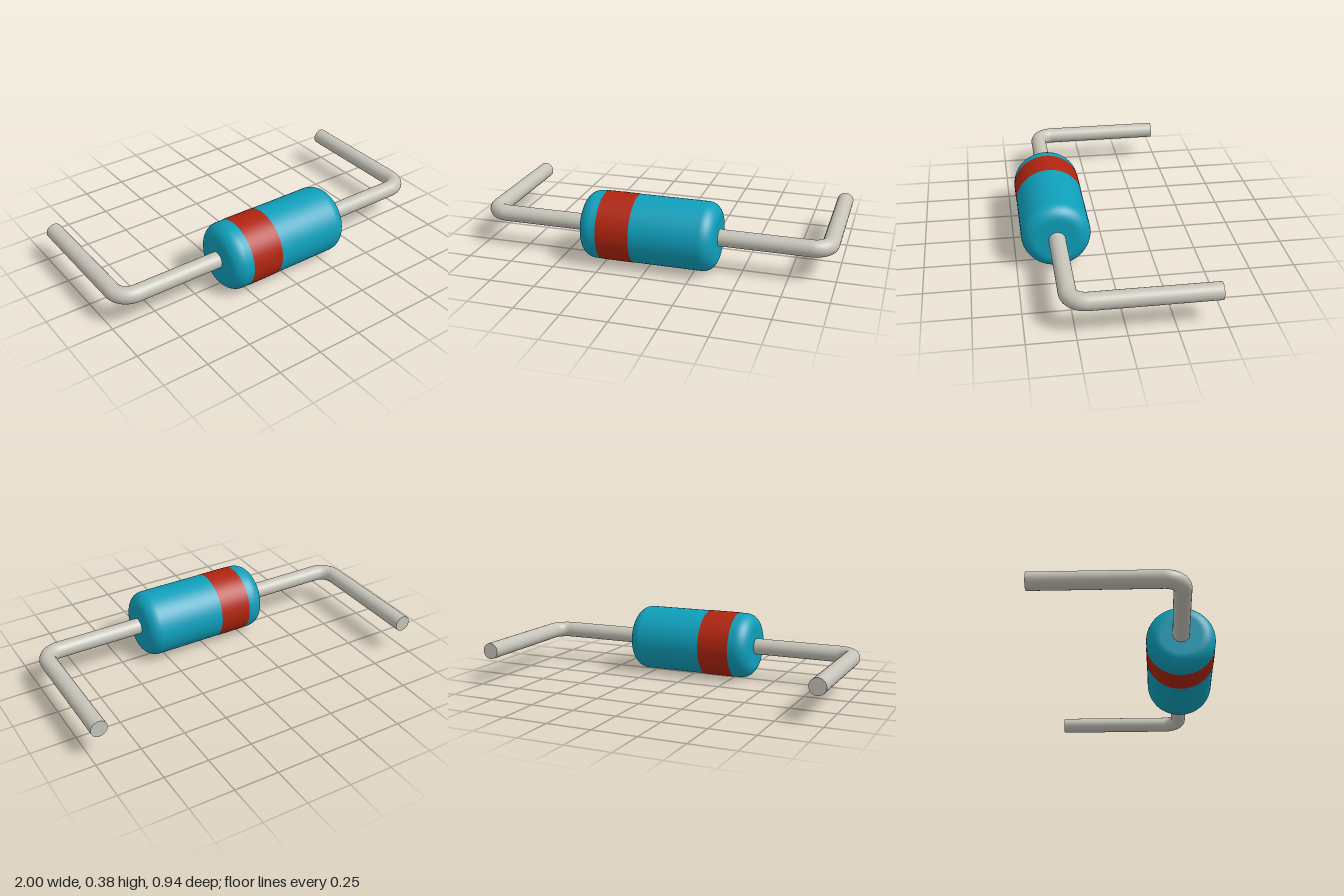
import * as THREE from 'three';

export function createModel() {
  const teal = new THREE.MeshStandardMaterial({ name: 'tealCasing', color: 0x0f9fbb });
  const red = new THREE.MeshStandardMaterial({ name: 'redBand', color: 0xb02510 });
  const metal = new THREE.MeshStandardMaterial({ name: 'leadMetal', color: 0xc6c4b9 });

  const R = 0.188, HALF = 0.373, FILLET = 0.075;   // casing
  const WIRE = 0.046, BEND = 0.09, LEG_X = 0.954;  // leads
  const AXIS_Y = 0.189, AXIS_Z = 0.281, BACK = -0.47;

  const model = new THREE.Group();
  model.name = 'axialComponent';
  const assembly = new THREE.Group();
  assembly.name = 'casingAndLeads';
  assembly.position.set(0, AXIS_Y, AXIS_Z);
  model.add(assembly);

  const add = (parent, name, geometry, material) => {
    const mesh = new THREE.Mesh(geometry, material);
    mesh.name = name;
    parent.add(mesh);
    return mesh;
  };

  // Casing: rounded cylinder turned around the x axis
  const profile = [new THREE.Vector2(0, -HALF)];
  for (const side of [-1, 1]) {
    for (let i = 0; i <= 10; i++) {
      const a = (side < 0 ? i - 10 : i) * Math.PI / 20;
      profile.push(new THREE.Vector2(
        R - FILLET + FILLET * Math.cos(a),
        side * (HALF - FILLET) + FILLET * Math.sin(a)));
    }
  }
  profile.push(new THREE.Vector2(0, HALF));
  add(assembly, 'casing', new THREE.LatheGeometry(profile, 64).rotateZ(-Math.PI / 2), teal);

  // Painted band, a hair proud of the casing
  const band = new THREE.CylinderGeometry(R + 0.0015, R + 0.0015, 0.185, 64, 1, true);
  add(assembly, 'polarityBand', band.rotateZ(Math.PI / 2), red).position.x = -0.172;

  // Leads: straight run, quarter bend, then a leg to the back; the second is a half turn
  const runStart = HALF - 0.02, runEnd = LEG_X - BEND;
  const legLength = AXIS_Z - BEND - BACK;
  for (const side of ['left', 'right']) {
    const lead = new THREE.Group();
    lead.name = side + 'Lead';
    if (side === 'right') lead.rotation.z = Math.PI;
    const run = new THREE.CylinderGeometry(WIRE, WIRE, runEnd - runStart, 32, 1, true);
    add(lead, side + 'LeadRun', run.rotateZ(Math.PI / 2), metal).position.x = (runStart + runEnd) / 2;
    const bend = new THREE.TorusGeometry(BEND, WIRE, 32, 16, Math.PI / 2);
    add(lead, side + 'LeadBend', bend.rotateX(Math.PI / 2), metal).position.set(runEnd, 0, -BEND);
    const leg = new THREE.CylinderGeometry(WIRE, WIRE, legLength, 32);
    add(lead, side + 'LeadLeg', leg.rotateX(Math.PI / 2), metal)
      .position.set(LEG_X, 0, -BEND - legLength / 2);
    assembly.add(lead);
  }
  return model;
}
